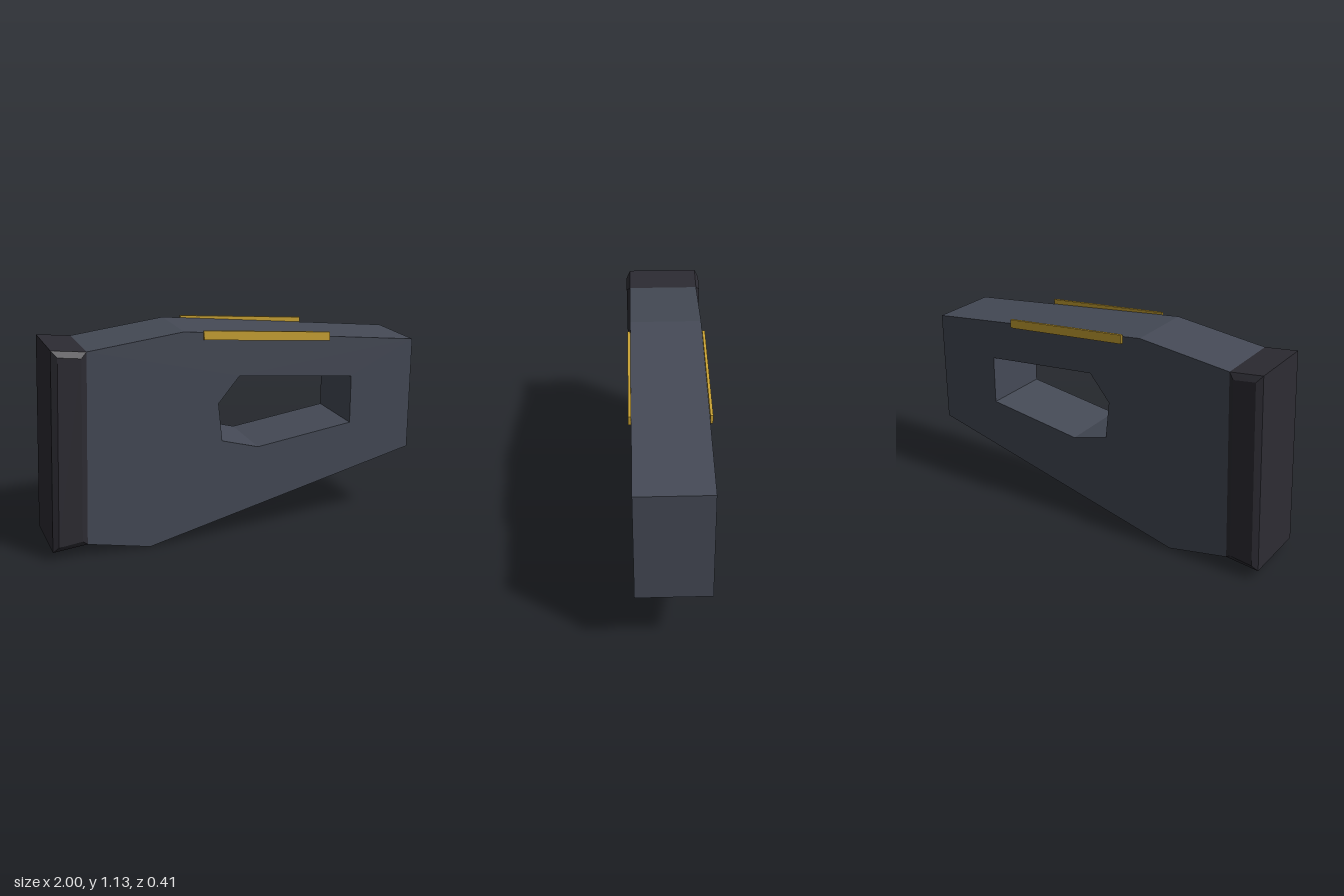
import * as THREE from 'three';

const charcoal = new THREE.MeshStandardMaterial({ name: 'charcoal body', color: 0x454a56 });
const rubber = new THREE.MeshStandardMaterial({ name: 'dark rubber', color: 0x2c2b32 });
const gold = new THREE.MeshStandardMaterial({ name: 'gold trim', color: 0xc9a233 });

const toPoints = (pairs) => pairs.map(([x, y]) => new THREE.Vector2(x, y));

// Extrudes a side profile from z0 to z1, with an optional chamfer cut inward
function slab(name, material, outline, z0, z1, hole, chamfer) {
  const shape = new THREE.Shape(toPoints(outline));
  if (hole) shape.holes.push(new THREE.Path(toPoints(hole)));
  const t = chamfer ? chamfer.thickness : 0;
  const geometry = new THREE.ExtrudeGeometry(shape, {
    depth: z1 - z0 - 2 * t,
    bevelEnabled: !!chamfer,
    bevelThickness: t,
    bevelSize: chamfer ? chamfer.size : 0,
    bevelOffset: chamfer ? -chamfer.size : 0,
    bevelSegments: 1,
  });
  geometry.translate(0, 0, z0 + t);
  const mesh = new THREE.Mesh(geometry, material);
  mesh.name = name;
  return mesh;
}

export function createModel() {
  const group = new THREE.Group();
  group.name = 'shoulderStock';

  // Main body with its angular grip opening
  group.add(slab('stockBody', charcoal,
    [[-0.825, 0.065], [-0.49, 0], [1, 0.38], [1, 0.99], [-0.29, 1.13], [-0.785, 1.07]],
    -0.187, 0.187,
    [[0.005, 0.877], [0.642, 0.817], [0.642, 0.557], [0.11, 0.48], [-0.09, 0.536], [-0.11, 0.74]]));

  // Chamfered pad at the rear end
  group.add(slab('buttPad', rubber,
    [[-1, 0.045], [-0.82, 0.065], [-0.785, 1.07], [-0.96, 1.09]],
    -0.207, 0.207, null, { thickness: 0.02, size: 0.03 }));

  // Gold strips along the upper edge, one per side
  for (const side of [1, -1]) {
    const strip = slab(side > 0 ? 'frontTrim' : 'backTrim', gold,
      [[-0.19, 1.083], [0.502, 1.024], [0.502, 1.07], [-0.19, 1.13]],
      side > 0 ? 0.187 : -0.201, side > 0 ? 0.201 : -0.187);
    group.add(strip);
  }

  return group;
}
